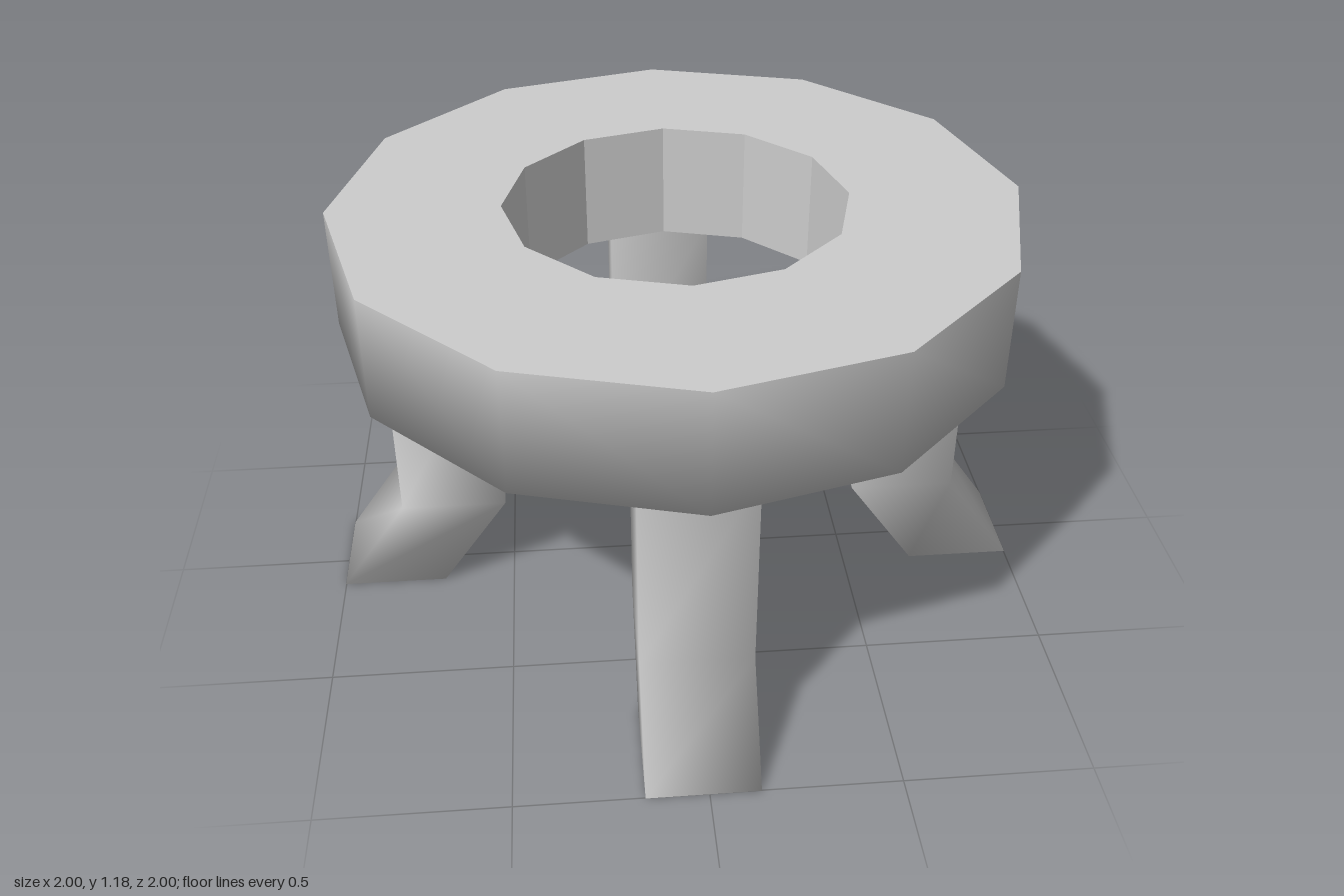
import * as THREE from 'three';

const grey = () => new THREE.MeshStandardMaterial({ color: 0xcccccc });

// Square leg along +z: straight shaft, then a foot kicked outwards
function legGeometry() {
  const sections = [[0, 0.705], [0.275, 0.51], [0.845, 0.51]]; // height, inner edge
  const size = 0.297, h = size / 2;
  const pos = [], index = [];
  for (const [y, z] of sections) {
    pos.push(-h, y, z, -h, y, z + size, h, y, z + size, h, y, z);
  }
  for (let s = 0; s < sections.length - 1; s++) {
    for (let i = 0; i < 4; i++) {
      const a = s * 4 + i, b = s * 4 + (i + 1) % 4;
      index.push(a, b, b + 4, a, b + 4, a + 4);
    }
  }
  index.push(0, 3, 2, 0, 2, 1); // sole
  const g = new THREE.BufferGeometry();
  g.setAttribute('position', new THREE.Float32BufferAttribute(pos, 3));
  g.setIndex(index);
  g.computeVertexNormals();
  return g;
}

export function createModel() {
  const model = new THREE.Group();
  model.name = 'ringStool';

  // Twelve-sided ring seat: softly shaded outside, crisp top and hole
  const R = 0.93, r = 0.466, low = 0.843, high = 1.18;
  const lathe = (...pts) => new THREE.LatheGeometry(pts.map(p => new THREE.Vector2(...p)), 12);
  const seat = new THREE.Group();
  seat.name = 'seat';
  const outside = new THREE.Mesh(lathe([r, low], [R, low], [R, high]), grey());
  outside.name = 'seatOutside';
  const inside = new THREE.Mesh(lathe([R, high], [r, high], [r, low]), grey());
  inside.name = 'seatTopAndHole';
  inside.material.flatShading = true;
  seat.add(outside, inside);
  model.add(seat);

  // Four legs, each set slightly off the centre line
  const geometry = legGeometry();
  const legs = [['frontLeg', 0, -0.015], ['leftLeg', 1, 0.025], ['backLeg', 2, 0.01], ['rightLeg', 3, -0.04]];
  for (const [name, quarter, offset] of legs) {
    const leg = new THREE.Group();
    leg.name = name;
    const mesh = new THREE.Mesh(geometry, grey());
    mesh.name = name + 'Body';
    mesh.position.x = offset;
    leg.add(mesh);
    leg.rotation.y = quarter * Math.PI / 2;
    model.add(leg);
  }
  return model;
}
